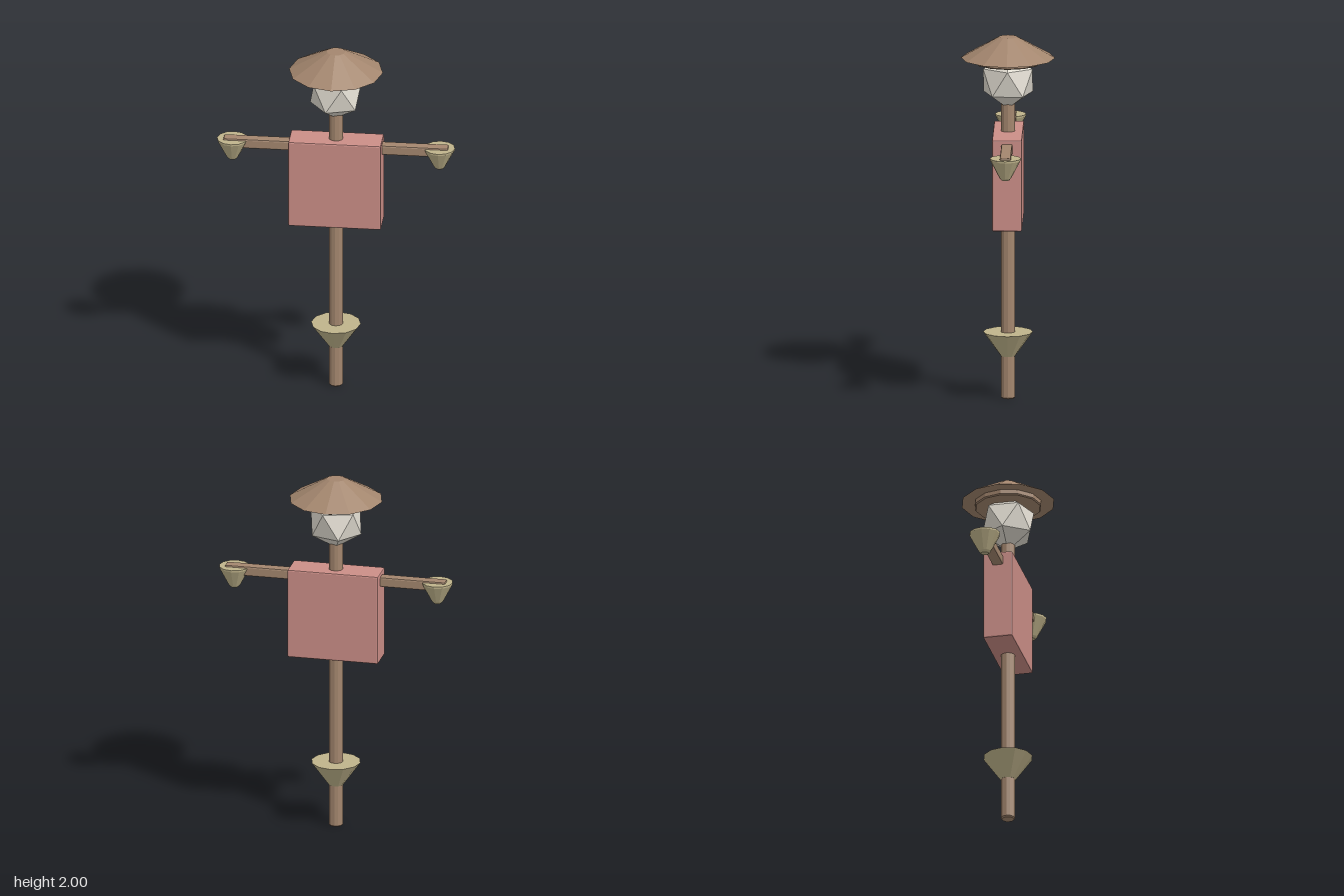
import * as THREE from 'three';
import { RoundedBoxGeometry } from 'three/addons/geometries/RoundedBoxGeometry.js';

const material = (color) => new THREE.MeshStandardMaterial({ color, flatShading: true });

export function createModel() {
  const model = new THREE.Group();
  model.name = 'scarecrow';

  const wood = material(0xa3866e);
  const straw = material(0xbfb38b);
  const cloth = material(0xcb8e87);
  const sack = material(0xe0dbd0);

  const add = (name, geometry, mat, x = 0, y = 0, z = 0) => {
    const mesh = new THREE.Mesh(geometry, mat);
    mesh.name = name;
    mesh.position.set(x, y, z);
    model.add(mesh);
    return mesh;
  };

  // Twelve-sided turned part from [radius, height] pairs, listed bottom to top
  const turned = (profile) =>
    new THREE.LatheGeometry(profile.map(([r, y]) => new THREE.Vector2(r, y)), 12);

  // Upright pole with bevelled ends
  add('pole', turned([[0, 0], [0.033, 0], [0.039, 0.007], [0.039, 1.693], [0.033, 1.7], [0, 1.7]]), wood);

  // Straw tuft round the foot of the pole
  add('legStraw', turned([[0, 0.235], [0.04, 0.235], [0.135, 0.368], [0, 0.368]]), straw);

  // Shirt
  add('body', new RoundedBoxGeometry(0.504, 0.504, 0.162, 1, 0.008), cloth, 0, 1.228, 0);

  // Crossbar with a straw hand at each end
  add('armBar', new RoundedBoxGeometry(1.222, 0.056, 0.06, 1, 0.009), wood, 0, 1.432, 0);
  for (const side of [1, -1]) {
    const hand = turned([[0, 1.33], [0.022, 1.33], [0.032, 1.342], [0.083, 1.44], [0.084, 1.45], [0, 1.45]]);
    add(side > 0 ? 'leftHand' : 'rightHand', hand, straw, side * 0.563, 0, 0);
  }

  // Faceted head standing on one of its corners
  const head = new THREE.IcosahedronGeometry(0.157, 0);
  head.rotateX(-Math.atan((1 + Math.sqrt(5)) / 2));
  head.rotateY(Math.PI / 2);
  add('head', head, sack, 0, 1.76, 0);

  // Wide hat over a narrow bevelled band
  add('hatBand', turned([[0, 1.855], [0.177, 1.855], [0.183, 1.861], [0.183, 1.89], [0, 1.89]]), wood);
  add('hatBrim', turned([[0, 1.884], [0.255, 1.884], [0.05, 2], [0, 2]]), wood);

  return model;
}
